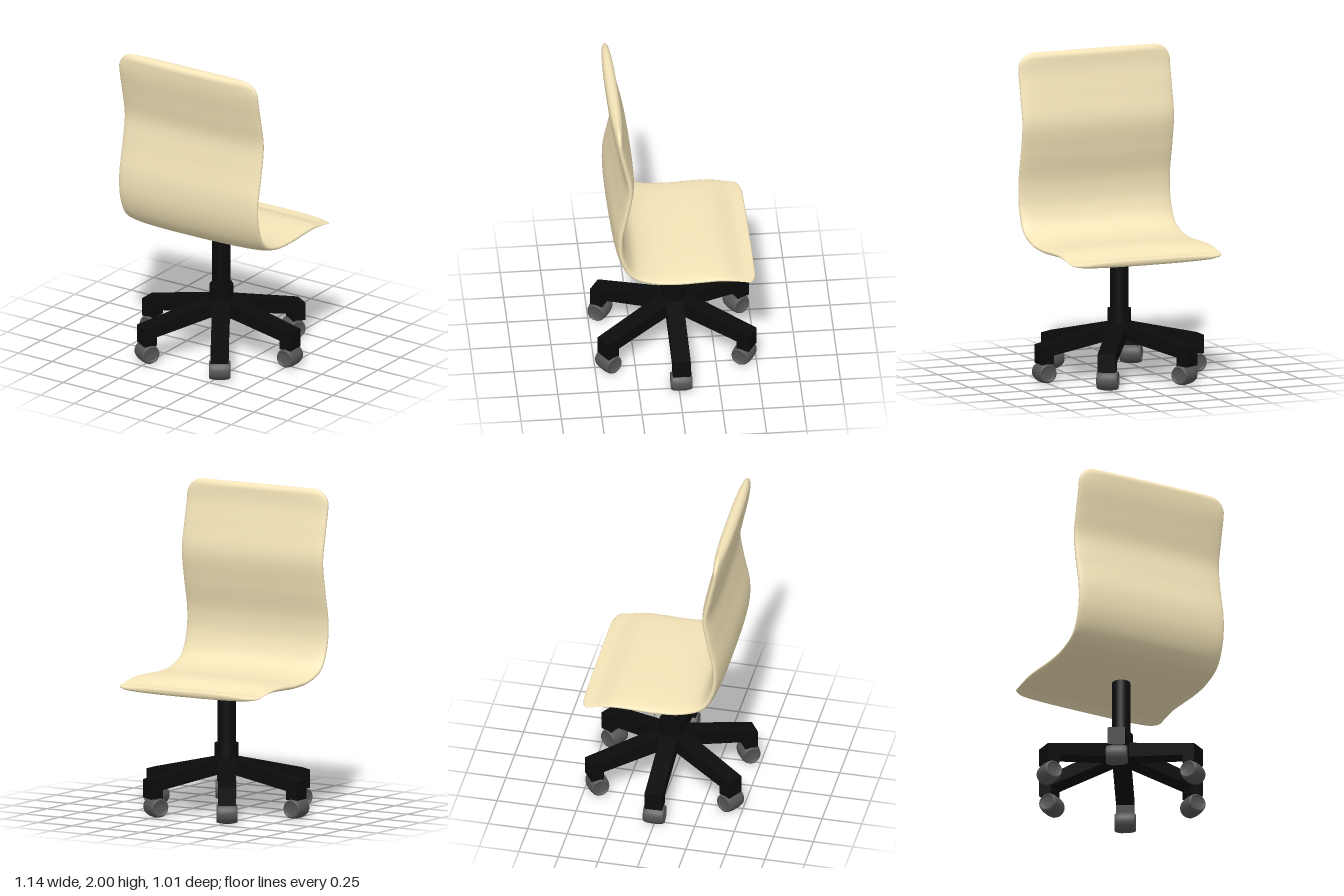
import * as THREE from 'three';

const cream = new THREE.MeshStandardMaterial({ color: 0xf4e4b8 });
const black = new THREE.MeshStandardMaterial({ color: 0x0b0b0b });
const grey = new THREE.MeshStandardMaterial({ color: 0x555555 });

function addMesh(parent, name, geometry, material) {
  const mesh = new THREE.Mesh(geometry, material);
  mesh.name = name;
  parent.add(mesh);
  return mesh;
}

// Centre line of the shell from backrest top to seat lip: z, y, half thickness
const PROFILE = [
  [0.375, 2.0, 0.037], [0.366, 1.88, 0.037], [0.333, 1.72, 0.038], [0.305, 1.56, 0.039],
  [0.33, 1.38, 0.038], [0.368, 1.18, 0.037], [0.355, 1.02, 0.037], [0.29, 0.895, 0.037],
  [0.16, 0.838, 0.037], [0, 0.823, 0.037], [-0.15, 0.828, 0.036], [-0.27, 0.829, 0.029],
  [-0.39, 0.811, 0.008], [-0.43, 0.803, 0.013], [-0.475, 0.792, 0.024],
];

// Quarter-circle easing: 0 at an end, 1 once d reaches r
const roundEnd = (d, r) => (d >= r ? 1 : Math.sqrt(Math.max(0, 1 - (1 - d / r) ** 2)));

// Cushioned cross-sections swept along the centre line
function shellGeometry() {
  const curve = new THREE.CatmullRomCurve3(PROFILE.map(([z, y]) => new THREE.Vector3(0, y, z)));
  const thickness = new THREE.SplineCurve(PROFILE.map(([, , h], i) => new THREE.Vector2(i, h)));
  curve.arcLengthDivisions = 600;
  const length = curve.getLength();
  const rows = 110, sides = 56, power = 2 / 2.6;
  const positions = [], index = [];
  for (let i = 0; i <= rows; i++) {
    const u = 0.5 - 0.5 * Math.cos((Math.PI * i) / rows);
    const t = curve.getUtoTmapping(u);
    const p = curve.getPoint(t), tan = curve.getTangent(t);
    const top = u * length, lip = (1 - u) * length;
    const halfWidth = 0.4 + 0.11 * roundEnd(top, 0.1) * roundEnd(lip, 0.05);
    const half = thickness.getPoint(t).y * roundEnd(top, 0.037) * roundEnd(lip, 0.012);
    for (let j = 0; j < sides; j++) {
      const a = (2 * Math.PI * j) / sides, c = Math.cos(a), s = Math.sin(a);
      const x = halfWidth * Math.sign(c) * Math.abs(c) ** power;
      const n = half * Math.sign(s) * Math.abs(s) ** power;
      positions.push(x, p.y - tan.z * n, p.z + tan.y * n);
      if (i < rows) {
        const q = i * sides + j, r = i * sides + ((j + 1) % sides);
        index.push(q, q + sides, r, r, q + sides, r + sides);
      }
    }
  }
  const g = new THREE.BufferGeometry();
  g.setAttribute('position', new THREE.Float32BufferAttribute(positions, 3));
  g.setIndex(index);
  g.computeVertexNormals();
  return g;
}

// Sloping arm with a downturned end, extruded across its width
function legGeometry() {
  const outline = [[0, 0.355], [0.07, 0.345], [0.547, 0.235], [0.547, 0.12],
    [0.464, 0.12], [0.464, 0.175], [0, 0.262]];
  const shape = new THREE.Shape(outline.map(([x, y]) => new THREE.Vector2(x, y)));
  return new THREE.ExtrudeGeometry(shape, { depth: 0.11, bevelEnabled: false }).translate(0, 0, -0.055);
}

// Barrel-shaped wheel with a recess in each face
function wheelGeometry() {
  const half = [[0, 0.054], [0.04, 0.054], [0.045, 0.065], [0.054, 0.065], [0.059, 0.055], [0.064, 0.025]];
  const points = [...half.map(([r, y]) => [r, -y]), ...half.slice().reverse()];
  return new THREE.LatheGeometry(points.map(([r, y]) => new THREE.Vector2(r, y)), 28)
    .rotateX(Math.PI / 2);
}

export function createModel() {
  const chair = new THREE.Group();
  chair.name = 'swivelChair';
  chair.rotation.y = 0.012;

  // Seat and backrest in one piece
  addMesh(chair, 'seatShell', shellGeometry(), cream).position.x = 0.005;

  // Pedestal, ending inside the seat
  const base = new THREE.Group();
  base.name = 'base';
  base.position.z = -0.008;
  chair.add(base);
  addMesh(base, 'column', new THREE.CylinderGeometry(0.057, 0.057, 0.51, 24), black).position.y = 0.555;
  addMesh(base, 'collar', new THREE.CylinderGeometry(0.074, 0.074, 0.15, 24), black).position.y = 0.357;

  // Six legs, each with a caster; the front pair of casters is tucked in
  const leg = legGeometry(), wheel = wheelGeometry();
  for (const degrees of [0, 58, 122, 180, 238, 302]) {
    const arm = new THREE.Group();
    arm.name = 'legWithCaster';
    arm.rotation.y = THREE.MathUtils.degToRad(degrees);
    base.add(arm);
    addMesh(arm, 'leg', leg, black);
    const tucked = degrees > 0 && degrees < 180;
    addMesh(arm, 'casterWheel', wheel, grey).position.set(tucked ? 0.488 : 0.506, 0.065, 0);
  }
  return chair;
}
